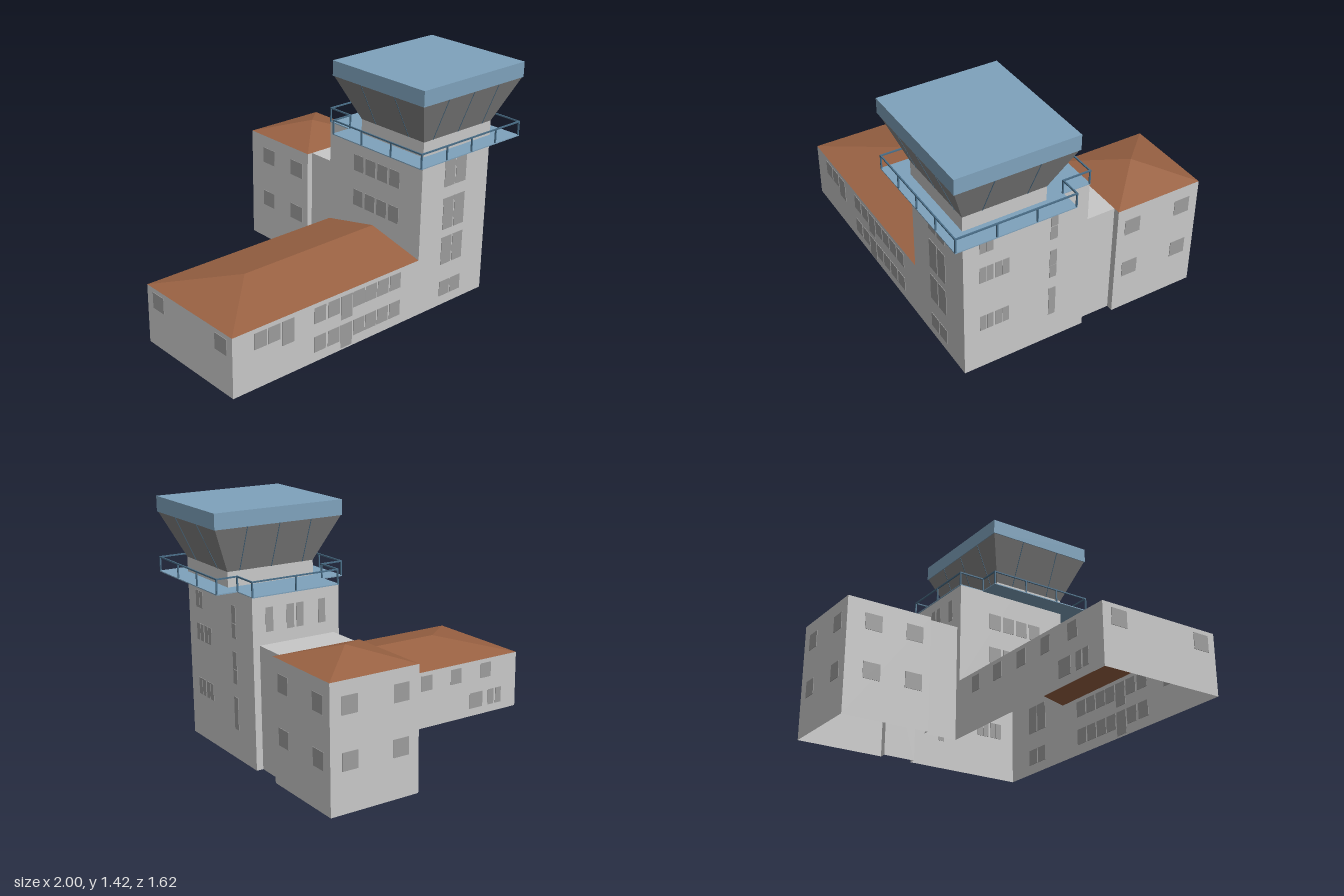
import * as THREE from 'three';

const material = (name, color, side = THREE.DoubleSide) => {
  const m = new THREE.MeshStandardMaterial({ color, side });
  m.name = name;
  return m;
};

export function createModel() {
  const model = new THREE.Group();
  const wallGrey = material('wallGrey', 0xc8c8c8);
  const windowGrey = material('windowGrey', 0x9c9c9c);
  const glassGrey = material('glassGrey', 0x868686);
  const roofBrown = material('roofBrown', 0x9a6243);
  const blue = material('blue', 0x7ea2bc);
  const railBlue = material('railBlue', 0x4a6e88);

  // One flat-faced mesh from convex polygons with outward winding
  function faces(name, mat, polygons) {
    const p = [];
    for (const poly of polygons)
      for (let i = 1; i < poly.length - 1; i++) p.push(...poly[0], ...poly[i], ...poly[i + 1]);
    const g = new THREE.BufferGeometry();
    g.setAttribute('position', new THREE.Float32BufferAttribute(p, 3));
    g.computeVertexNormals();
    const mesh = new THREE.Mesh(g, mat);
    mesh.name = name;
    model.add(mesh);
  }

  // Vertical walls along a plan path of [x, z] points
  function run(path, y0, y1) {
    return path.slice(1).map(([bx, bz], i) => {
      const [ax, az] = path[i];
      return [[ax, y0, az], [bx, y0, bz], [bx, y1, bz], [ax, y1, az]];
    });
  }

  function box(parent, name, mat, x0, x1, y0, y1, z0, z1) {
    const mesh = new THREE.Mesh(new THREE.BoxGeometry(x1 - x0, y1 - y0, z1 - z0), mat);
    mesh.position.set((x0 + x1) / 2, (y0 + y1) / 2, (z0 + z1) / 2);
    mesh.name = name;
    parent.add(mesh);
  }

  // Main plan lines
  const L = 0.33, R = 0.875, F = 0.7, B = -0.055;
  const eave = 0.355, ridge = 0.44, ridgeZ = 0.32, deck = 0.98;
  const linkL = 0.365, linkR = 0.835, linkB = -0.26, rearB = -0.805, rearTop = 0.71;

  // Long wing with a hipped roof
  faces('wingWalls', wallGrey, run([[L, B], [-1, B], [-1, F], [L, F]], 0, eave));
  const hip = [-0.62, ridge, ridgeZ], ridgeEnd = [L, ridge, ridgeZ];
  faces('wingRoof', roofBrown, [
    [[-1, eave, F], [L, eave, F], ridgeEnd, hip],
    [[L, eave, B], [-1, eave, B], hip, ridgeEnd],
    [[-1, eave, B], [-1, eave, F], hip],
  ]);

  // Tower shaft, open where it meets the wing and the link
  faces('towerWalls', wallGrey, [
    ...run([[L, F], [R, F], [R, B], [linkR, B]], 0, deck),
    ...run([[linkL, B], [L, B]], 0, deck),
    ...run([[linkR, B], [linkL, B]], rearTop, deck),
    [[L, eave, B], ridgeEnd, [L, deck, ridgeZ], [L, deck, B]],
    [ridgeEnd, [L, eave, F], [L, deck, F], [L, deck, ridgeZ]],
  ]);

  // Flat-roofed link
  faces('link', wallGrey, [
    ...run([[linkR, B], [linkR, linkB]], 0, rearTop),
    ...run([[linkL, linkB], [linkL, B]], 0, rearTop),
    [[linkL, rearTop, B], [linkR, rearTop, B], [linkR, rearTop, linkB], [linkL, rearTop, linkB]],
  ]);

  // Rear block with a pyramid roof
  faces('rearWalls', wallGrey, run(
    [[linkR, linkB], [R, linkB], [R, rearB], [L, rearB], [L, linkB], [linkL, linkB]], 0, rearTop));
  const corners = [[L, linkB], [R, linkB], [R, rearB], [L, rearB]];
  faces('rearRoof', roofBrown, corners.map(([x, z], i) => {
    const [x2, z2] = corners[(i + 1) % 4];
    return [[x, rearTop, z], [x2, rearTop, z2], [(L + R) / 2, 0.795, (linkB + rearB) / 2]];
  }));

  // Control cab: base, sloping glass and roof slab
  const ring = (x0, x1, z0, z1) => [[x0, z1], [x1, z1], [x1, z0], [x0, z0], [x0, z1]];
  const low = ring(L, R, 0.21, F), high = ring(0.205, 0.995, 0.105, 0.805);
  faces('cabBase', wallGrey, run(low, deck, 1.07));
  faces('cabGlass', glassGrey, [0, 1, 2, 3].map(i => [
    [low[i][0], 1.07, low[i][1]], [low[i + 1][0], 1.07, low[i + 1][1]],
    [high[i + 1][0], 1.33, high[i + 1][1]], [high[i][0], 1.33, high[i][1]],
  ]));
  box(model, 'cabRoof', blue, 0.2, 1, 1.33, 1.42, 0.1, 0.81);

  // Thin bars on the sloping glass
  const bars = new THREE.Group();
  bars.name = 'glassBars';
  model.add(bars);
  function bar(a, b) {
    const p = new THREE.Vector3(...a), q = new THREE.Vector3(...b);
    const mesh = new THREE.Mesh(new THREE.BoxGeometry(0.004, 0.004, p.distanceTo(q)), railBlue);
    mesh.position.copy(p).add(q).multiplyScalar(0.5);
    mesh.lookAt(q);
    mesh.name = 'glassBar';
    bars.add(mesh);
  }
  for (const x of [0.4, 0.6, 0.8]) {
    bar([x, 1.07, F], [x, 1.33, 0.805]);
    bar([x, 1.07, 0.21], [x, 1.33, 0.105]);
  }
  for (const z of [0.325, 0.585]) {
    bar([R, 1.07, z], [0.995, 1.33, z]);
    bar([L, 1.07, z], [0.205, 1.33, z]);
  }

  // T-shaped balcony deck
  const outline = [[0.2, 0.81], [1, 0.81], [1, 0.105], [R, 0.105], [R, -0.06], [L, -0.06], [L, 0.105], [0.2, 0.105]];
  const shape = new THREE.Shape(outline.map(([x, z]) => new THREE.Vector2(x, -z)));
  const deckGeo = new THREE.ExtrudeGeometry(shape, { depth: 0.006, bevelEnabled: false });
  deckGeo.rotateX(-Math.PI / 2).translate(0, 0.977, 0);
  const balcony = new THREE.Mesh(deckGeo, blue);
  balcony.name = 'balconyDeck';
  model.add(balcony);

  // Railing: posts at even divisions of each edge, and a top rail
  const railing = new THREE.Group();
  railing.name = 'railing';
  model.add(railing);
  const divisions = [4, 3, 1, 1, 2, 1, 1, 3], t = 0.004;
  const inset = ([x, z]) => [x + (x < 0.6 ? t : -t), z + (z > 0.5 ? -t : t)];
  outline.forEach((p, i) => {
    const [ax, az] = inset(p), [bx, bz] = inset(outline[(i + 1) % outline.length]);
    for (let k = 0; k < divisions[i]; k++) {
      const x = ax + (bx - ax) * k / divisions[i], z = az + (bz - az) * k / divisions[i];
      box(railing, 'railPost', railBlue, x - t, x + t, deck, 1.067, z - t, z + t);
    }
    box(railing, 'topRail', railBlue, Math.min(ax, bx) - t, Math.max(ax, bx) + t, 1.06, 1.068,
      Math.min(az, bz) - t, Math.max(az, bz) + t);
  });

  // Windows: thin plates set through the walls
  const windows = new THREE.Group();
  windows.name = 'windows';
  model.add(windows);
  const d = 0.003;
  // Facing front or back: spans in x, rows in y
  const paneZ = (z, spans, rows) => spans.forEach(([a, b]) => rows.forEach(([y0, y1]) =>
    box(windows, 'window', windowGrey, a, b, y0, y1, z - d, z + d)));
  // Facing left or right: spans in z, rows in y
  const paneX = (x, spans, rows) => spans.forEach(([a, b]) => rows.forEach(([y0, y1]) =>
    box(windows, 'window', windowGrey, x - d, x + d, y0, y1, a, b)));
  const spans = (width, ...starts) => starts.map(s => [s, s + width]);
  const upper = [0.235, 0.33], lower = [0.06, 0.155];

  // Tower front
  paneZ(F, spans(0.082, 0.513, 0.604), [[0.755, 0.945], [0.49, 0.685], [0.267, 0.44], lower]);
  // Wing front
  paneZ(F, spans(0.082, -0.86, -0.769), [upper]);
  paneZ(F, spans(0.082, -0.675), [[0.187, 0.33]]);
  paneZ(F, spans(0.082, -0.454, -0.355, -0.17, -0.08, 0.012, 0.106), [upper, lower]);
  paneZ(F, spans(0.082, -0.262), [[0.187, 0.33], [0.012, 0.155]]);
  // Wing back and end
  paneZ(B, spans(0.08, 0.11, -0.107, -0.336, -0.558, -0.793), [upper]);
  paneZ(B, [[-0.73, -0.63], [-0.82, -0.775], [-0.88, -0.835]], [[0.05, 0.15]]);
  paneX(-1, [[0, 0.1], [0.555, 0.655]], [upper]);
  // Tower right side
  paneX(R, spans(0.039, 0.566, 0.523), [[0.795, 0.895]]);
  paneX(R, spans(0.039, 0.566, 0.523, 0.471, 0.428), [[0.6, 0.7], [0.268, 0.367]]);
  paneX(R, spans(0.043, 0.134),
    [[0.795, 0.895], [0.708, 0.79], [0.53, 0.63], [0.445, 0.527], [0.177, 0.367]]);
  // Tower left side and back
  paneX(L, spans(0.08, 0.155, 0.253, 0.35, 0.448), [[0.74, 0.84], [0.52, 0.62]]);
  paneZ(B, spans(0.045, 0.75, 0.62, 0.56, 0.42), [[0.78, 0.915]]);
  // Rear block
  const rearRows = [[0.53, 0.63], [0.233, 0.333]];
  paneX(R, spans(0.1, -0.41, -0.747), rearRows);
  paneX(L, spans(0.11, -0.42, -0.69), rearRows);
  paneZ(rearB, spans(0.095, 0.395, 0.71), rearRows);

  return model;
}
